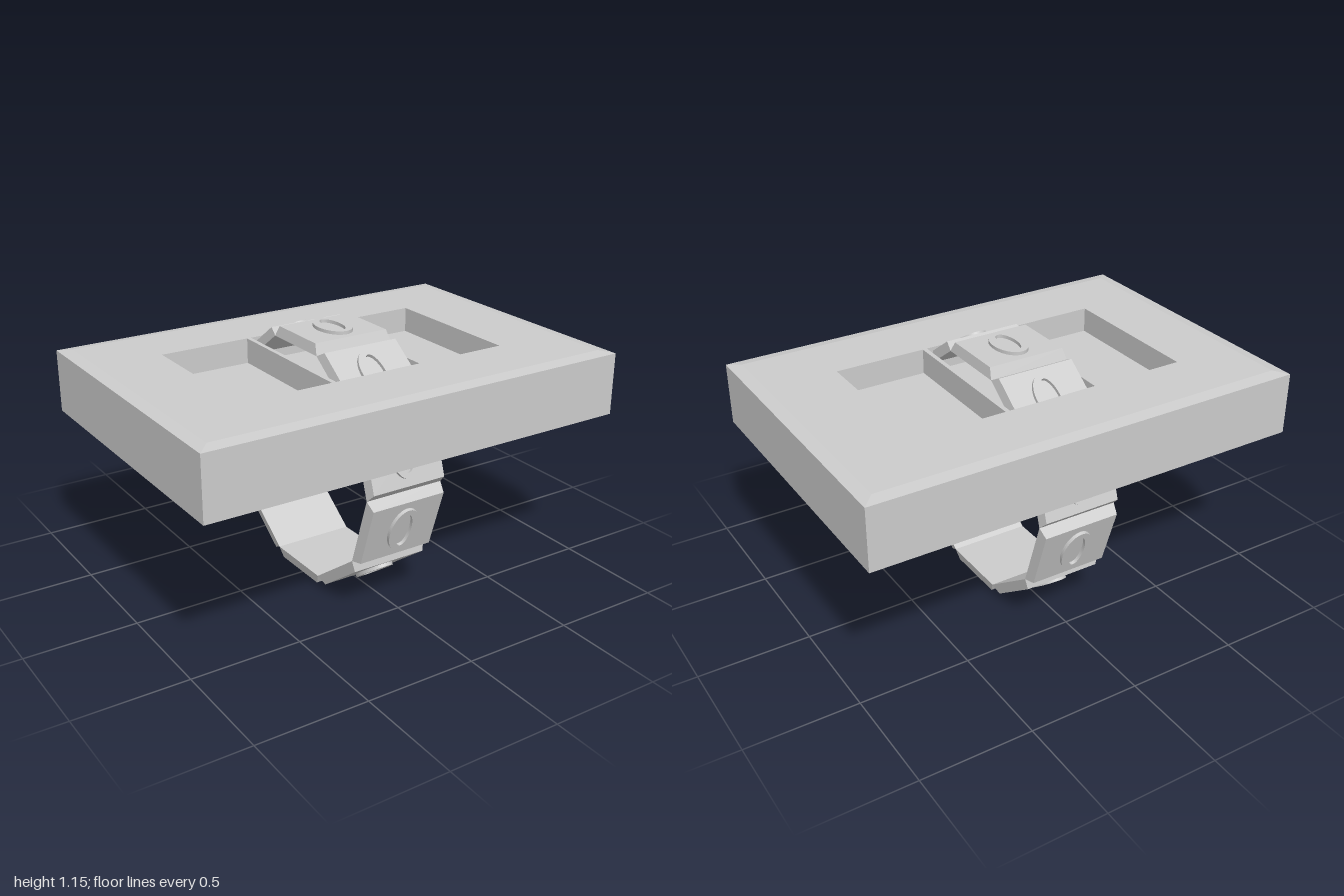
import * as THREE from 'three';

const mat = new THREE.MeshStandardMaterial({ color: 0xcccccc, flatShading: true });
const WHEEL_X = -0.0125, WHEEL_Y = 0.575;
const HALF_X = 1, HALF_Z = 0.677, BEVEL = 0.055;

function add(parent, name, geometry) {
  const mesh = new THREE.Mesh(geometry, mat);
  mesh.name = name;
  parent.add(mesh);
  return mesh;
}

function rect(target, cx, hx, hy) {
  target.moveTo(cx - hx, -hy);
  target.lineTo(cx + hx, -hy);
  target.lineTo(cx + hx, hy);
  target.lineTo(cx - hx, hy);
  target.closePath();
  return target;
}

// Rectangular panel pierced by the three windows, lying flat from y0 to y1
function windowPanel(hx, hz, y0, y1) {
  const shape = rect(new THREE.Shape(), 0, hx, hz);
  for (const i of [-1, 0, 1]) {
    shape.holes.push(rect(new THREE.Path(), WHEEL_X + i * 0.435, 0.2075, 0.345));
  }
  const geo = new THREE.ExtrudeGeometry(shape, { depth: y1 - y0, bevelEnabled: false });
  geo.rotateX(-Math.PI / 2);
  geo.translate(0, y0, 0);
  return geo;
}

// Tile: a block whose outer face is narrower than its inner face
function tileGeometry() {
  const inner = 0.513, outer = 0.56;
  const geo = new THREE.BoxGeometry(0.374, outer - inner, 0.334).toNonIndexed();
  const p = geo.attributes.position;
  for (let i = 0; i < p.count; i++) {
    if (p.getY(i) > 0) {
      p.setX(i, p.getX(i) * 0.95);
      p.setZ(i, p.getZ(i) * 0.86);
    }
  }
  geo.translate(0, (inner + outer) / 2, 0);
  geo.computeVertexNormals();
  return geo;
}

// Raised oval ring on the outer face of a tile
function reliefGeometry() {
  const shape = new THREE.Shape().absellipse(0, 0, 0.073, 0.111, 0, Math.PI * 2);
  shape.holes.push(new THREE.Path().absellipse(0, 0, 0.036, 0.085, 0, Math.PI * 2));
  const geo = new THREE.ExtrudeGeometry(shape, { depth: 0.02, bevelEnabled: false, curveSegments: 32 });
  geo.rotateX(-Math.PI / 2);
  geo.translate(0, 0.555, 0);
  return geo;
}

export function createModel() {
  const model = new THREE.Group();
  model.name = 'counterWheelDisplay';

  // Housing plate: closed base, windowed frame and softly sloped top
  const plate = new THREE.Group();
  plate.name = 'plate';
  model.add(plate);
  const floorY = 0.92, bottomY = 0.745, edgeY = 1.024, topY = 1.034;
  const base = add(plate, 'plateBase', new THREE.BoxGeometry(HALF_X * 2, floorY - bottomY, HALF_Z * 2));
  base.position.y = (floorY + bottomY) / 2;
  add(plate, 'windowFrame', windowPanel(HALF_X, HALF_Z, floorY, edgeY));

  const top = windowPanel(HALF_X - BEVEL, HALF_Z - BEVEL, edgeY, topY);
  const p = top.attributes.position;
  for (let i = 0; i < p.count; i++) {
    // Spread the lower outline to the full plate size
    if (p.getY(i) < edgeY + 0.001 && Math.abs(p.getX(i)) > 0.8) {
      p.setX(i, Math.sign(p.getX(i)) * HALF_X);
      p.setZ(i, Math.sign(p.getZ(i)) * HALF_Z);
    }
  }
  top.computeVertexNormals();
  add(plate, 'slopedTop', top);

  // Ten-sided wheel passing through the middle window
  const wheel = new THREE.Group();
  wheel.name = 'wheel';
  wheel.position.set(WHEEL_X, WHEEL_Y, 0);
  model.add(wheel);
  const tile = tileGeometry(), relief = reliefGeometry();
  for (let i = 0; i < 10; i++) {
    const segment = new THREE.Group();
    segment.name = 'wheelSegment' + i;
    segment.rotation.x = (i * Math.PI) / 5;
    add(segment, 'tile', tile);
    add(segment, 'raisedMark', relief);
    wheel.add(segment);
  }
  return model;
}
